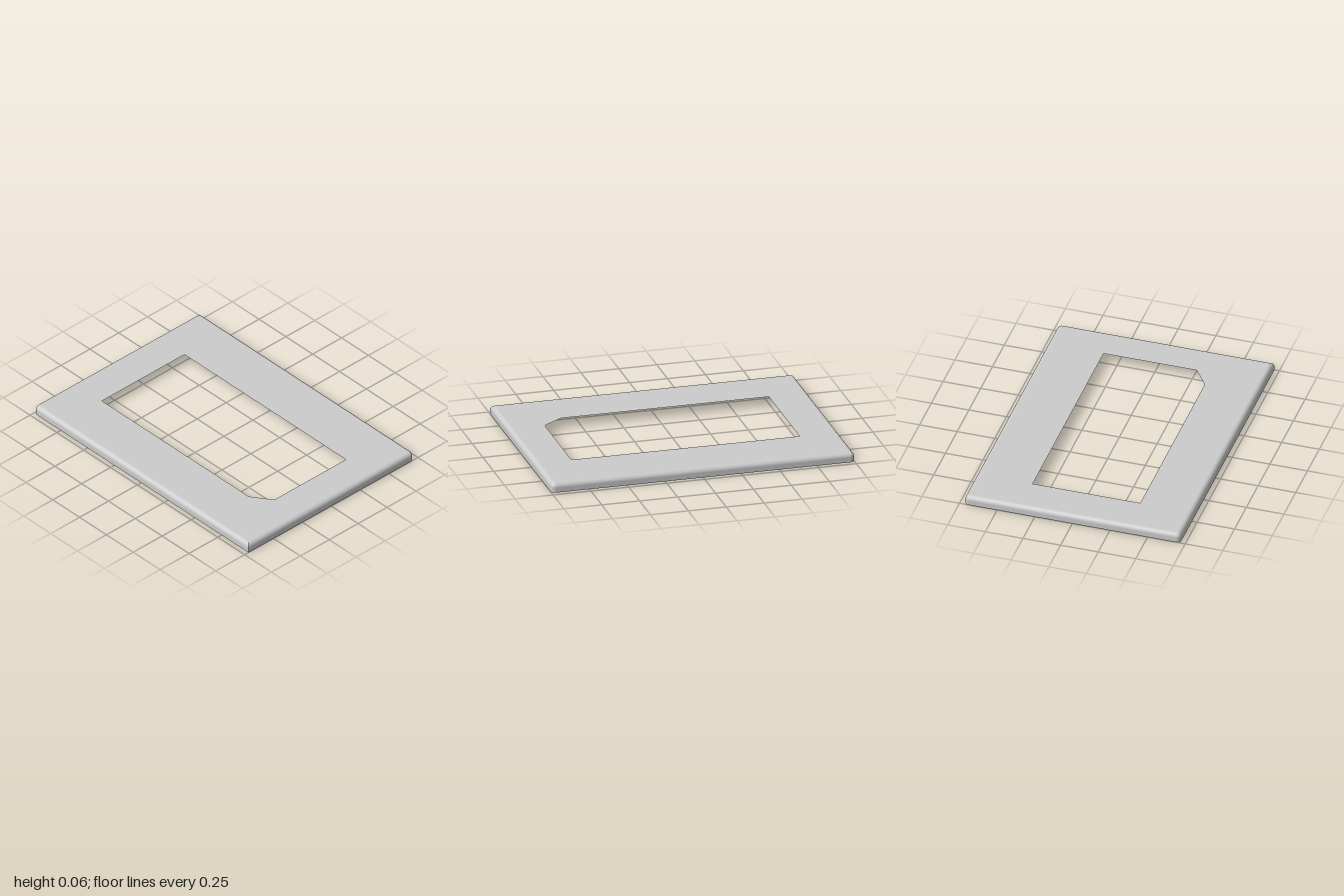
import * as THREE from 'three';

const W = 0.717, D = 1, H = 0.062, R = 0.03; // half width, half depth, height, edge radius
const STEPS = 6;

// Plan outline: a corner centre, an offset from it and a normal for every point
function outline() {
  const points = [];
  [[1, 1], [-1, 1], [-1, -1], [1, -1]].forEach(([sx, sz], corner) => {
    const sharp = sx < 0 && sz > 0; // the front right corner is square
    const n = sharp ? 1 : STEPS;
    for (let k = 0; k <= n; k++) {
      const a = (corner + k / n) * Math.PI / 2;
      const normal = [Math.cos(a), Math.sin(a)];
      points.push({ centre: [sx * (W - R), sz * (D - R)], offset: sharp ? [sx, sz] : normal, normal });
    }
  });
  points.push(points[0]);
  return points;
}

// Upright skirt that rolls over into the flat top
function rimGeometry() {
  const levels = [{ inset: 0, y: 0, tilt: 0 }];
  for (let k = 0; k <= STEPS; k++) {
    const tilt = (k / STEPS) * Math.PI / 2;
    levels.push({ inset: R * (1 - Math.cos(tilt)), y: H - R + R * Math.sin(tilt), tilt });
  }
  const position = [], normal = [], index = [];
  const n = levels.length;
  outline().forEach((p, i) => {
    levels.forEach(({ inset, y, tilt }, j) => {
      const r = R - inset, c = Math.cos(tilt);
      position.push(p.centre[0] + r * p.offset[0], y, p.centre[1] + r * p.offset[1]);
      normal.push(c * p.normal[0], Math.sin(tilt), c * p.normal[1]);
      if (i > 0 && j > 0) {
        const b = i * n + j, a = b - n;
        index.push(a - 1, a, b - 1, a, b, b - 1);
      }
    });
  });
  const g = new THREE.BufferGeometry();
  g.setAttribute('position', new THREE.Float32BufferAttribute(position, 3));
  g.setAttribute('normal', new THREE.Float32BufferAttribute(normal, 3));
  g.setIndex(index);
  return g;
}

// Flat top with a window that has one clipped corner
function topGeometry() {
  const x = W - R, z = D - R;
  const toPoints = list => list.map(([px, pz]) => new THREE.Vector2(px, -pz));
  const shape = new THREE.Shape(toPoints([[-x, z], [x, z], [x, -z], [-x, -z]]));
  shape.holes.push(new THREE.Path(toPoints([
    [-0.37, -0.74], [0.345, -0.74], [0.345, 0.765], [-0.275, 0.765], [-0.37, 0.63],
  ])));
  return new THREE.ShapeGeometry(shape).rotateX(-Math.PI / 2).translate(0, H, 0);
}

export function createModel() {
  const group = new THREE.Group();
  group.name = 'framePanel';
  // Open underneath, so both sides show
  const material = new THREE.MeshStandardMaterial({ color: 0xcccccc, side: THREE.DoubleSide });
  const add = (name, geometry) => {
    const mesh = new THREE.Mesh(geometry, material);
    mesh.name = name;
    group.add(mesh);
  };
  add('roundedRim', rimGeometry());
  add('topPlate', topGeometry());
  return group;
}
